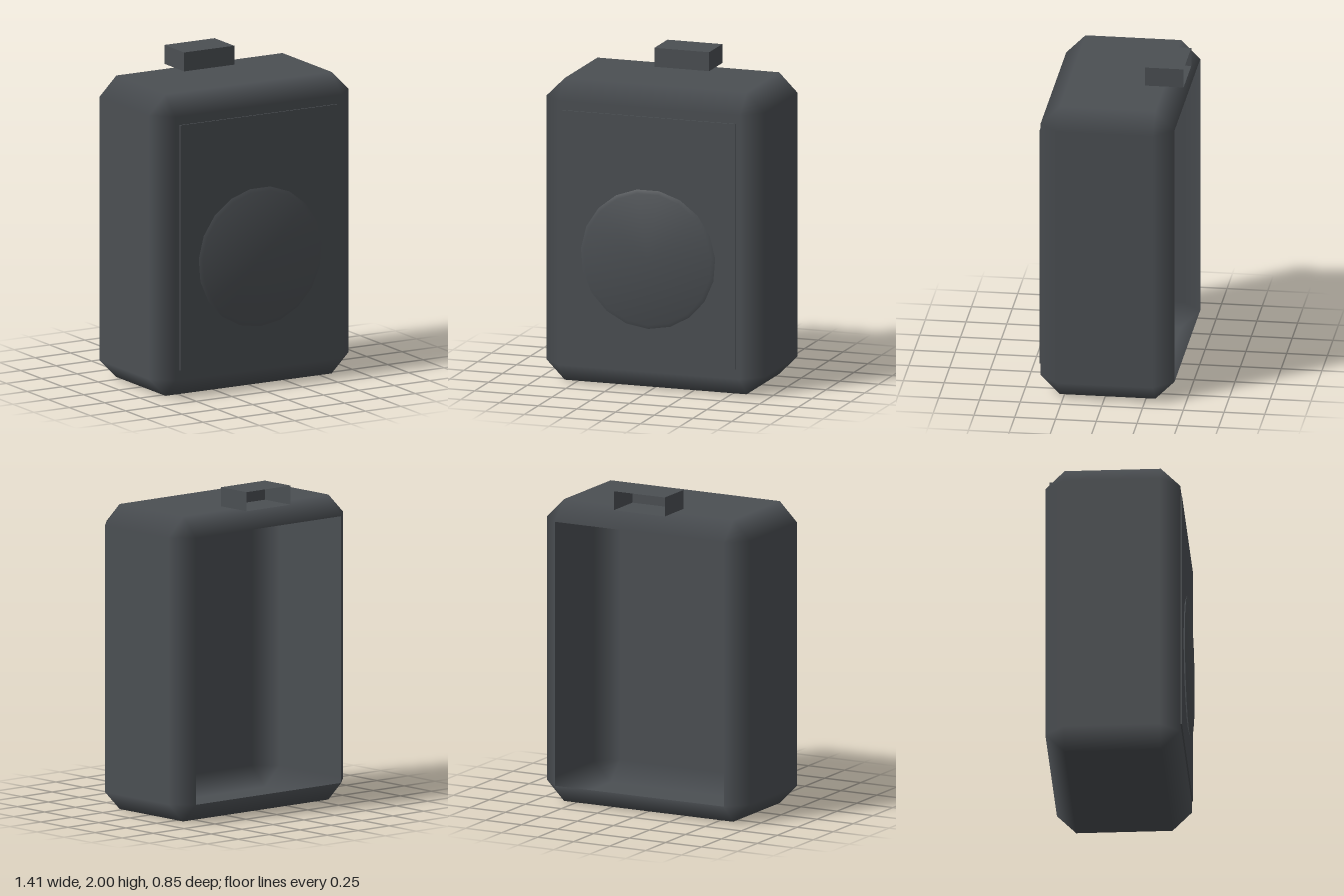
import * as THREE from 'three';
import { toCreasedNormals } from 'three/addons/utils/BufferGeometryUtils.js';

const AXES = [0, 1, 2];

// Chamfered box shell without its back (-z) face; face normals blend across the chamfers
function openChamferBox(half, c) {
  const pos = [], nor = [], index = [];
  const id = (s, axis) => ((s[0] > 0) * 4 + (s[1] > 0) * 2 + (s[2] > 0)) * 3 + axis;
  for (const x of [-1, 1]) for (const y of [-1, 1]) for (const z of [-1, 1]) {
    const s = [x, y, z];
    for (const axis of AXES) {
      pos.push(...s.map((v, i) => v * (half[i] - (i === axis ? 0 : c))));
      nor.push(...s.map((v, i) => (i === axis ? v : 0)));
    }
  }
  // Add a triangle, turned so that it faces away from the centre
  const p = (i) => new THREE.Vector3().fromArray(pos, i * 3);
  const tri = (a, b, d) => {
    const n = p(b).sub(p(a)).cross(p(d).sub(p(a)));
    const mid = p(a).add(p(b)).add(p(d));
    index.push(...(n.dot(mid) > 0 ? [a, b, d] : [a, d, b]));
  };
  const quad = (a, b, d, e) => { tri(a, b, d); tri(a, d, e); };
  const corner = (a, va, b, vb, d, vd) => {
    const s = [0, 0, 0];
    s[a] = va; s[b] = vb; s[d] = vd;
    return s;
  };
  for (const a of AXES) {
    const b = (a + 1) % 3, d = (a + 2) % 3;
    for (const u of [-1, 1]) {
      // Flat faces
      if (!(a === 2 && u < 0)) {
        quad(...[[-1, -1], [1, -1], [1, 1], [-1, 1]].map(([v, w]) => id(corner(a, u, b, v, d, w), a)));
      }
      // Edge chamfers running along axis a
      for (const v of [-1, 1]) {
        const s0 = corner(a, -1, b, u, d, v), s1 = corner(a, 1, b, u, d, v);
        quad(id(s0, b), id(s1, b), id(s1, d), id(s0, d));
      }
    }
  }
  // Corner triangles
  for (let k = 0; k < 8; k++) tri(k * 3, k * 3 + 1, k * 3 + 2);

  const geo = new THREE.BufferGeometry();
  geo.setAttribute('position', new THREE.Float32BufferAttribute(pos, 3));
  geo.setAttribute('normal', new THREE.Float32BufferAttribute(nor, 3));
  geo.setIndex(index);
  return geo;
}

export function createModel() {
  const group = new THREE.Group();
  const charcoal = new THREE.MeshStandardMaterial({ color: 0x4b4f53, side: THREE.DoubleSide });
  charcoal.name = 'charcoal';

  const add = (name, geo, x, y, z) => {
    const mesh = new THREE.Mesh(geo, charcoal);
    mesh.name = name;
    mesh.position.set(x, y, z);
    group.add(mesh);
  };

  // Hollow case, open at the back
  add('caseShell', openChamferBox([0.705, 0.941, 0.411], 0.118), 0, 0.941, -0.014);

  // Thin panel on the front
  add('frontPanel', new THREE.BoxGeometry(1.116, 1.53, 0.009), 0, 0.945, 0.4015);

  // Bevelled nineteen-sided disc on the panel
  const profile = [[0, -0.009], [0.411, -0.009], [0.435, 0], [0.411, 0.009], [0, 0.009]]
    .map(([r, h]) => new THREE.Vector2(r, h));
  const disc = new THREE.LatheGeometry(profile, 19).rotateX(Math.PI / 2);
  add('frontDisc', toCreasedNormals(disc, 0.5), 0, 0.827, 0.416);

  // Top block, hollow and open at the back
  const block = new THREE.BoxGeometry(0.354, 0.118, 0.235);
  block.setIndex(Array.from(block.index.array).slice(0, 30));
  block.clearGroups();
  add('topBlock', block, 0, 1.941, -0.3075);

  return group;
}
